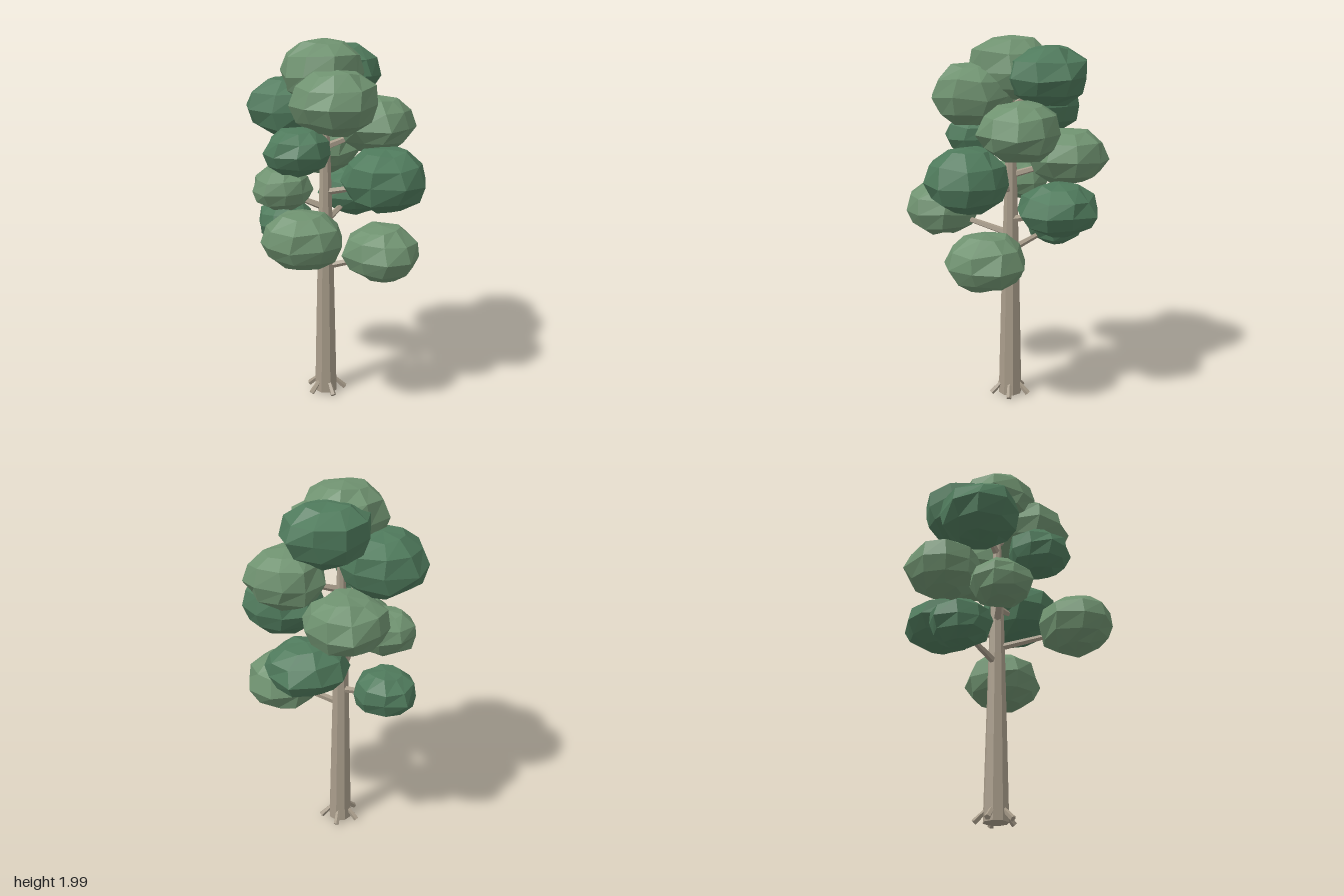
import * as THREE from 'three';

const bark = new THREE.MeshStandardMaterial({ color: 0xa89c8a, flatShading: true });
const lightLeaf = new THREE.MeshStandardMaterial({ color: 0x6f9270, flatShading: true });
const darkLeaf = new THREE.MeshStandardMaterial({ color: 0x4f7a5c, flatShading: true });

const TRUNK_X = -0.06, TRUNK_Z = -0.045;

// Leaf clumps: centre x, y, z, half width, half height, dark or light
const CLUMPS = [
  [-0.07, 1.83, -0.04, 0.23, 0.17, false],
  [-0.07, 1.80, -0.25, 0.23, 0.155, true],
  [0.06, 1.70, 0.11, 0.23, 0.165, false],
  [-0.29, 1.63, -0.09, 0.23, 0.16, true],
  [0.16, 1.54, -0.23, 0.215, 0.155, false],
  [-0.11, 1.455, 0.20, 0.175, 0.125, true],
  [-0.19, 1.375, -0.31, 0.22, 0.15, false],
  [0.29, 1.295, 0, 0.225, 0.165, true],
  [-0.28, 1.205, 0.03, 0.17, 0.118, false],
  [0, 1.13, -0.365, 0.215, 0.14, true],
  [-0.015, 1.05, 0.37, 0.213, 0.15, false],
  [-0.35, 0.96, -0.165, 0.17, 0.12, true],
  [0.25, 0.87, -0.08, 0.213, 0.152, false],
];

function seeded(seed) {
  return () => {
    seed = (seed * 16807) % 2147483647;
    return seed / 2147483647;
  };
}

// Lumpy squashed ball made of quad rings between two poles
function clumpGeometry(rx, ry, seed) {
  const rand = seeded(seed * 7919 + 13);
  const sides = 9;
  const rings = [[0.45, -0.9], [0.82, -0.58], [0.99, -0.06], [0.87, 0.5], [0.5, 0.88]];
  const turn = rand() * Math.PI;
  const points = [0, -ry * 0.99, 0];
  for (const [r, y] of rings) {
    for (let i = 0; i < sides; i++) {
      const a = turn + ((i + (rand() - 0.5) * 0.25) / sides) * Math.PI * 2;
      const k = rx * r * (0.93 + rand() * 0.14);
      points.push(Math.cos(a) * k, ry * (y + (rand() - 0.5) * 0.14), Math.sin(a) * k);
    }
  }
  points.push(0, ry * 0.98, 0);
  const top = 1 + rings.length * sides;
  const at = (j, i) => 1 + j * sides + (i % sides);
  const index = [];
  for (let i = 0; i < sides; i++) {
    index.push(0, at(0, i), at(0, i + 1));
    for (let j = 0; j < rings.length - 1; j++) {
      const a = at(j, i), b = at(j, i + 1), c = at(j + 1, i), d = at(j + 1, i + 1);
      index.push(a, c, b, b, c, d);
    }
    index.push(at(rings.length - 1, i), top, at(rings.length - 1, i + 1));
  }
  const g = new THREE.BufferGeometry();
  g.setAttribute('position', new THREE.Float32BufferAttribute(points, 3));
  g.setIndex(index);
  g.computeVertexNormals();
  return g;
}

// Tapered stick from one point to another
function stick(from, to, r0, r1, sides, name) {
  const dir = to.clone().sub(from);
  const mesh = new THREE.Mesh(new THREE.CylinderGeometry(r1, r0, dir.length(), sides), bark);
  mesh.position.copy(from).addScaledVector(dir, 0.5);
  mesh.quaternion.setFromUnitVectors(new THREE.Vector3(0, 1, 0), dir.normalize());
  mesh.name = name;
  return mesh;
}

export function createModel() {
  const tree = new THREE.Group();
  tree.name = 'tree';

  // Trunk
  const profile = [[0, 0.01], [0.066, 0.01], [0.056, 0.45], [0.045, 0.9], [0.031, 1.35], [0.016, 1.72], [0, 1.72]];
  const trunk = new THREE.Mesh(
    new THREE.LatheGeometry(profile.map(([r, y]) => new THREE.Vector2(r, y)), 8), bark);
  trunk.position.set(TRUNK_X, 0, TRUNK_Z);
  trunk.name = 'trunk';
  tree.add(trunk);

  // Roots
  const roots = new THREE.Group();
  roots.name = 'roots';
  for (let i = 0; i < 5; i++) {
    const a = Math.PI / 4 + (i / 5) * Math.PI * 2;
    const on = (r, y) => new THREE.Vector3(TRUNK_X + Math.cos(a) * r, y, TRUNK_Z + Math.sin(a) * r);
    roots.add(stick(on(0.045, 0.075), on(0.108, 0.014), 0.012, 0.016, 5, 'root'));
  }
  tree.add(roots);

  // Branches and leaf clumps
  const branches = new THREE.Group();
  branches.name = 'branches';
  const crown = new THREE.Group();
  crown.name = 'crown';
  CLUMPS.forEach(([x, y, z, rx, ry, dark], i) => {
    const start = new THREE.Vector3(TRUNK_X, Math.min(y - 0.11, 1.62), TRUNK_Z);
    branches.add(stick(start, new THREE.Vector3(x, y - 0.02, z), 0.02, 0.012, 5, 'branch'));
    const clump = new THREE.Mesh(clumpGeometry(rx, ry, i + 1), dark ? darkLeaf : lightLeaf);
    clump.position.set(x, y, z);
    clump.name = 'leafClump';
    crown.add(clump);
  });
  tree.add(branches, crown);
  return tree;
}
